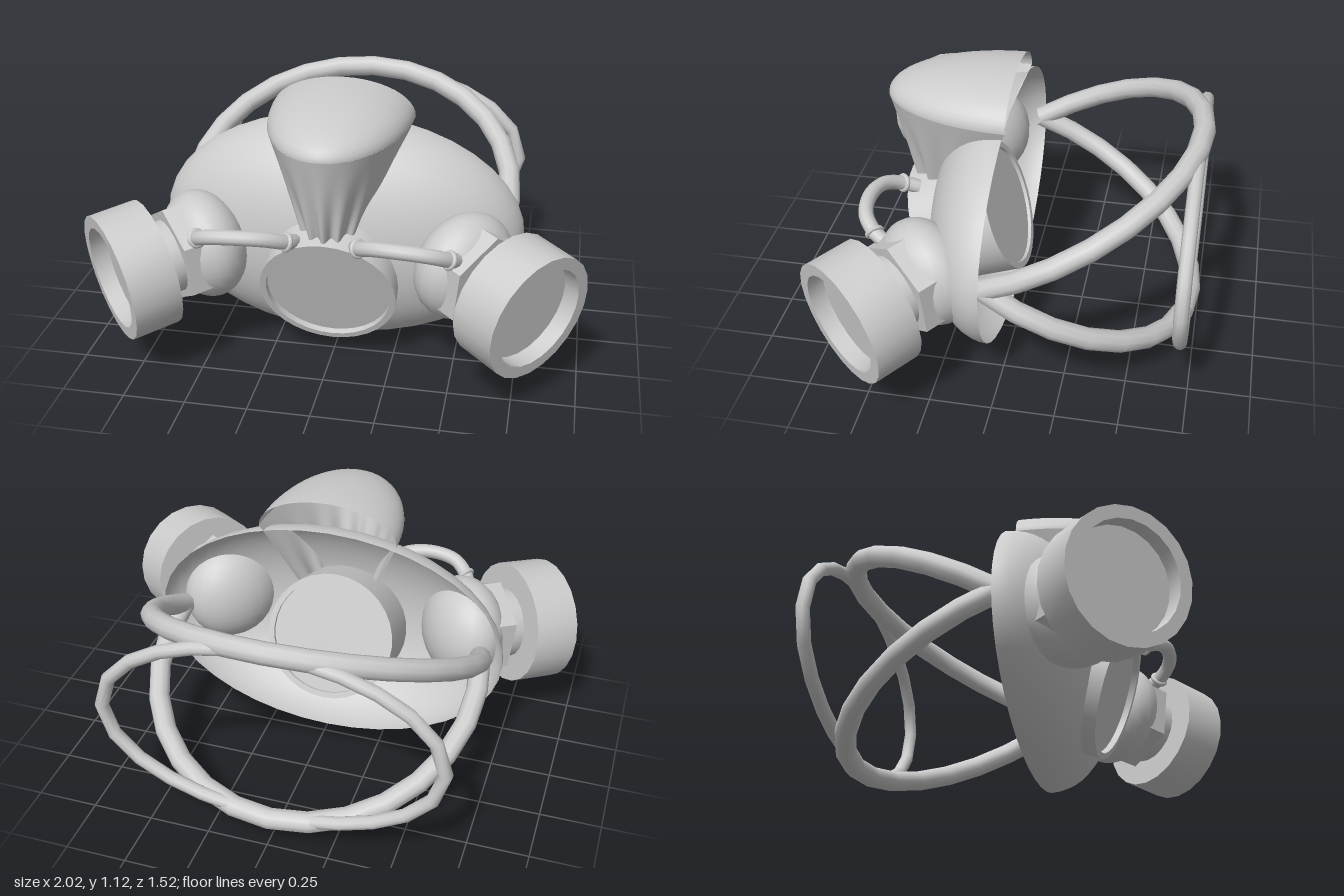
import * as THREE from 'three';
import { toCreasedNormals } from 'three/addons/utils/BufferGeometryUtils.js';
import { ParametricGeometry } from 'three/addons/geometries/ParametricGeometry.js';

const solid = new THREE.MeshStandardMaterial({ color: 0xcccccc });
const shell = new THREE.MeshStandardMaterial({ color: 0xcccccc, side: THREE.DoubleSide });

function add(parent, name, geometry, material = solid) {
  const mesh = new THREE.Mesh(geometry, material);
  mesh.name = name;
  parent.add(mesh);
  return mesh;
}

// Turned part whose axis runs along z; profile is [radius, z] pairs
function turned(profile, sides) {
  const g = new THREE.LatheGeometry(profile.map(([r, z]) => new THREE.Vector2(r, z)), sides);
  return toCreasedNormals(g.rotateX(Math.PI / 2), 0.6);
}

function tube(points, segments, radius, closed = false, sides = 10) {
  const curve = new THREE.CatmullRomCurve3(points, closed);
  return new THREE.TubeGeometry(curve, segments, radius, sides, closed);
}

// Filter canister with its nut and rounded mount, facing outwards and slightly down
function filter(side) {
  const group = new THREE.Group();
  group.name = side > 0 ? 'leftFilter' : 'rightFilter';
  group.position.set(0.84 * side, 0.425, 0.56);
  group.rotation.set(0.13, 0.87 * side, 0, 'YXZ');

  add(group, 'filterDrum', turned(
    [[0, -0.195], [0.26, -0.195], [0.26, 0], [0.21, 0], [0.21, -0.07], [0, -0.07]], 22));
  add(group, 'filterNeck', turned([[0.15, -0.28], [0.15, -0.19]], 20));
  const nut = new THREE.CylinderGeometry(0.207, 0.207, 0.14, 6).rotateX(Math.PI / 2);
  add(group, 'filterNut', toCreasedNormals(nut.translate(0, 0, -0.335), 0.5));
  const mount = new THREE.SphereGeometry(1, 24, 16).scale(0.225, 0.225, 0.16);
  add(group, 'filterMount', mount.translate(0, 0, -0.41));
  return group;
}

// Breathing hose from the filter nut to the nose piece, with a collar at the outer end
function hose(side) {
  const group = new THREE.Group();
  group.name = side > 0 ? 'leftHose' : 'rightHose';
  const path = [
    [0.51, 0.59, 0.47], [0.49, 0.61, 0.51], [0.43, 0.645, 0.56], [0.32, 0.66, 0.575],
    [0.21, 0.65, 0.55], [0.14, 0.615, 0.49], [0.12, 0.59, 0.43],
  ].map(([x, y, z]) => new THREE.Vector3(x * side, y, z));
  add(group, 'hoseTube', tube(path, 24, 0.03));
  for (const [at, next] of [[1, 2], [5, 4]]) {
    const collar = add(group, 'hoseCollar', new THREE.TorusGeometry(0.03, 0.01, 8, 16));
    collar.position.copy(path[at]);
    collar.lookAt(path[next]);
  }
  return group;
}

// Head strap: a horseshoe sloping away from the mask, upwards or downwards
function strap(slope) {
  const points = [];
  const start = -0.25, end = Math.PI + 0.25, n = 16;
  for (let i = 0; i <= n; i++) {
    const a = start + (end - start) * i / n;
    const z = -0.1 - 0.615 * Math.sin(a);
    points.push(new THREE.Vector3(0.675 * Math.cos(a), 0.52 + slope * 0.4 * (0.05 - z) / 0.765, z));
  }
  return tube(points, n, 0.044);
}

export function createModel() {
  const model = new THREE.Group();
  model.name = 'respiratorMask';

  // Face shell, hollow at the back
  const face = new THREE.SphereGeometry(1, 40, 16, 0, Math.PI * 2, 0, Math.PI / 2);
  add(model, 'faceShell', face.rotateX(Math.PI / 2).scale(0.75, 0.49, 0.32).translate(0, 0.5, 0.045), shell);

  // Nose piece: domed cap over a half funnel that puckers towards its lower end
  const cap = new THREE.SphereGeometry(1, 32, 12, 0, Math.PI, 0, Math.PI / 2);
  add(model, 'noseCap', cap.scale(0.29, 0.145, 0.53).translate(0, 0.987, 0.03), shell);
  const funnel = (u, v, target) => {
    const a = Math.PI * u;
    const back = THREE.MathUtils.lerp(0.03, 0.2, v);
    const front = THREE.MathUtils.lerp(0.56, 0.45, v);
    const pucker = 1 + 0.07 * v * v * Math.cos(a * 16);
    target.set(
      THREE.MathUtils.lerp(0.29, 0.125, v) * Math.cos(a) * pucker,
      THREE.MathUtils.lerp(0.987, 0.58, v),
      back + (front - back) * Math.sin(a) * pucker);
  };
  add(model, 'noseFunnel', new ParametricGeometry(funnel, 96, 12), shell);

  // Central valve through the shell, recessed at both ends
  const valve = add(model, 'centralValve', turned([
    [0, -0.155], [0.25, -0.155], [0.25, -0.17], [0.275, -0.17],
    [0.275, 0.17], [0.25, 0.17], [0.25, 0.145], [0, 0.145]], 32));
  valve.position.set(0, 0.407, 0.234);
  valve.rotation.x = 0.345;

  for (const side of [1, -1]) {
    model.add(filter(side), hose(side));
  }

  // Head harness: two sloping straps and an upright ring joining them
  add(model, 'upperStrap', strap(1));
  add(model, 'lowerStrap', strap(-1));
  const ring = [];
  for (let i = 0; i < 20; i++) {
    const a = Math.PI * 2 * i / 20;
    ring.push(new THREE.Vector3(0.685 * Math.cos(a), 0.52 + 0.39 * Math.sin(a), -0.705));
  }
  add(model, 'harnessRing', tube(ring, 24, 0.028, true));

  return model;
}
